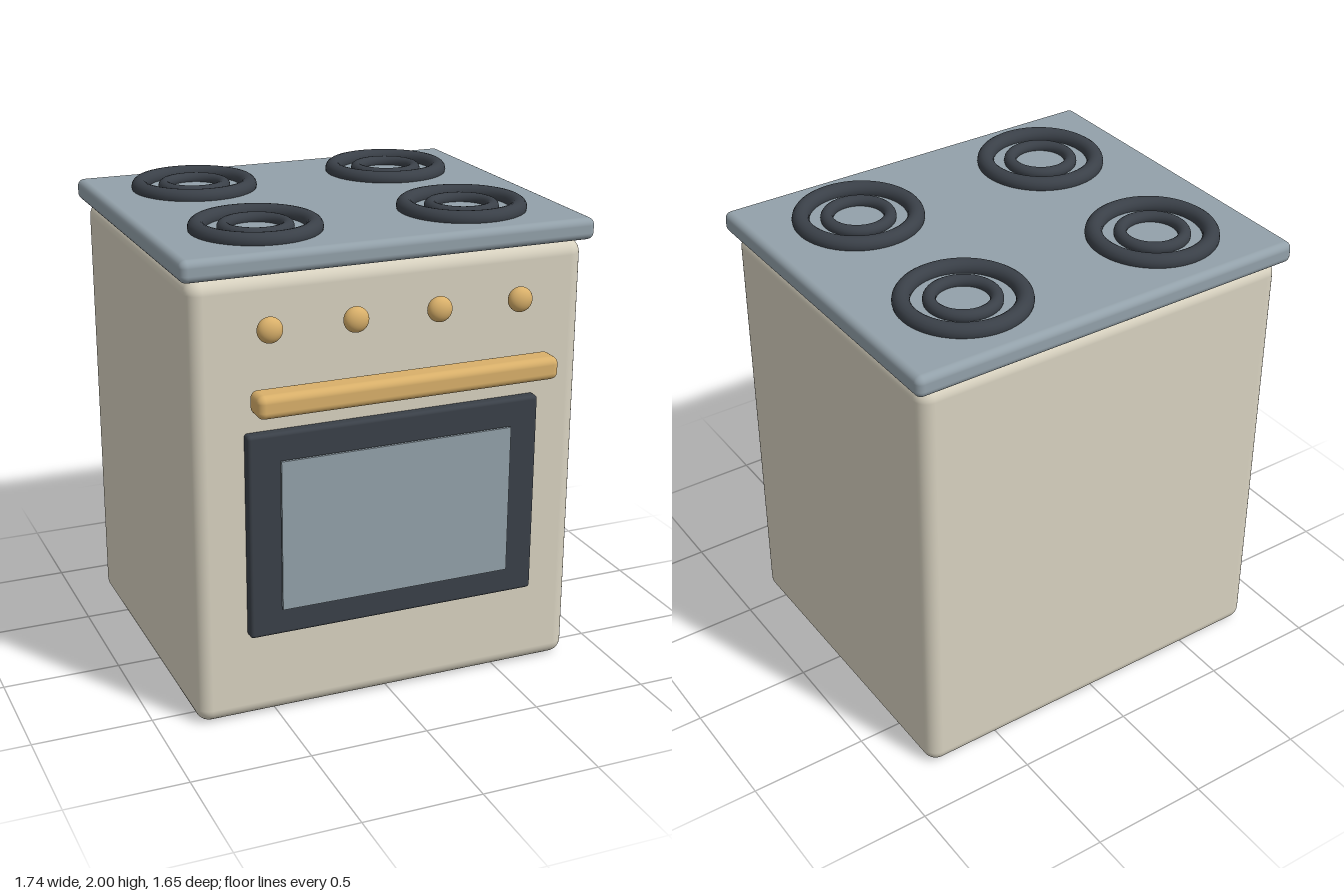
import * as THREE from 'three';
import { RoundedBoxGeometry } from 'three/addons/geometries/RoundedBoxGeometry.js';

const paint = (color) => new THREE.MeshStandardMaterial({ color });

export function createModel() {
  const model = new THREE.Group();
  model.name = 'stove';

  const cream = paint(0xd8d2c0);
  const steel = paint(0x93a1aa);
  const dark = paint(0x3a4048);
  const brass = paint(0xd9b06a);

  const add = (name, geometry, material, x, y, z, parent = model) => {
    const mesh = new THREE.Mesh(geometry, material);
    mesh.name = name;
    mesh.position.set(x, y, z);
    parent.add(mesh);
    return mesh;
  };

  // Cabinet and overhanging cooktop
  add('body', new RoundedBoxGeometry(1.675, 1.865, 1.42, 5, 0.06), cream, 0, 0.9325, -0.083);
  add('cooktop', new RoundedBoxGeometry(1.74, 0.09, 1.485, 4, 0.03), steel, 0, 1.91, -0.085);

  // Oven door with its thin pane standing just proud of it
  add('ovenDoor', new RoundedBoxGeometry(1.255, 0.865, 0.055, 4, 0.015), dark, 0, 0.81, 0.647);
  add('ovenWindow', new THREE.BoxGeometry(0.995, 0.635, 0.012), steel, 0, 0.812, 0.689);
  add('doorHandle', new RoundedBoxGeometry(1.27, 0.095, 0.116, 4, 0.03), brass, 0, 1.405, 0.769);

  // Row of flattened control knobs
  const knobGeometry = new THREE.SphereGeometry(0.052, 28, 20);
  [-0.53, -0.177, 0.177, 0.53].forEach((x) => {
    add('knob', knobGeometry, brass, x, 1.66, 0.67).scale.z = 0.7;
  });

  // Four burners, each a pair of concentric rings set into the cooktop
  const outerRing = new THREE.TorusGeometry(0.232, 0.035, 16, 56).rotateX(Math.PI / 2);
  const innerRing = new THREE.TorusGeometry(0.127, 0.026, 16, 48).rotateX(Math.PI / 2);
  for (const x of [-0.446, 0.446]) {
    for (const z of [-0.468, 0.296]) {
      const burner = new THREE.Group();
      burner.name = 'burner';
      burner.position.set(x, 1.965, z);
      add('outerRing', outerRing, dark, 0, 0, 0, burner);
      add('innerRing', innerRing, dark, 0, 0, 0, burner);
      model.add(burner);
    }
  }

  return model;
}
